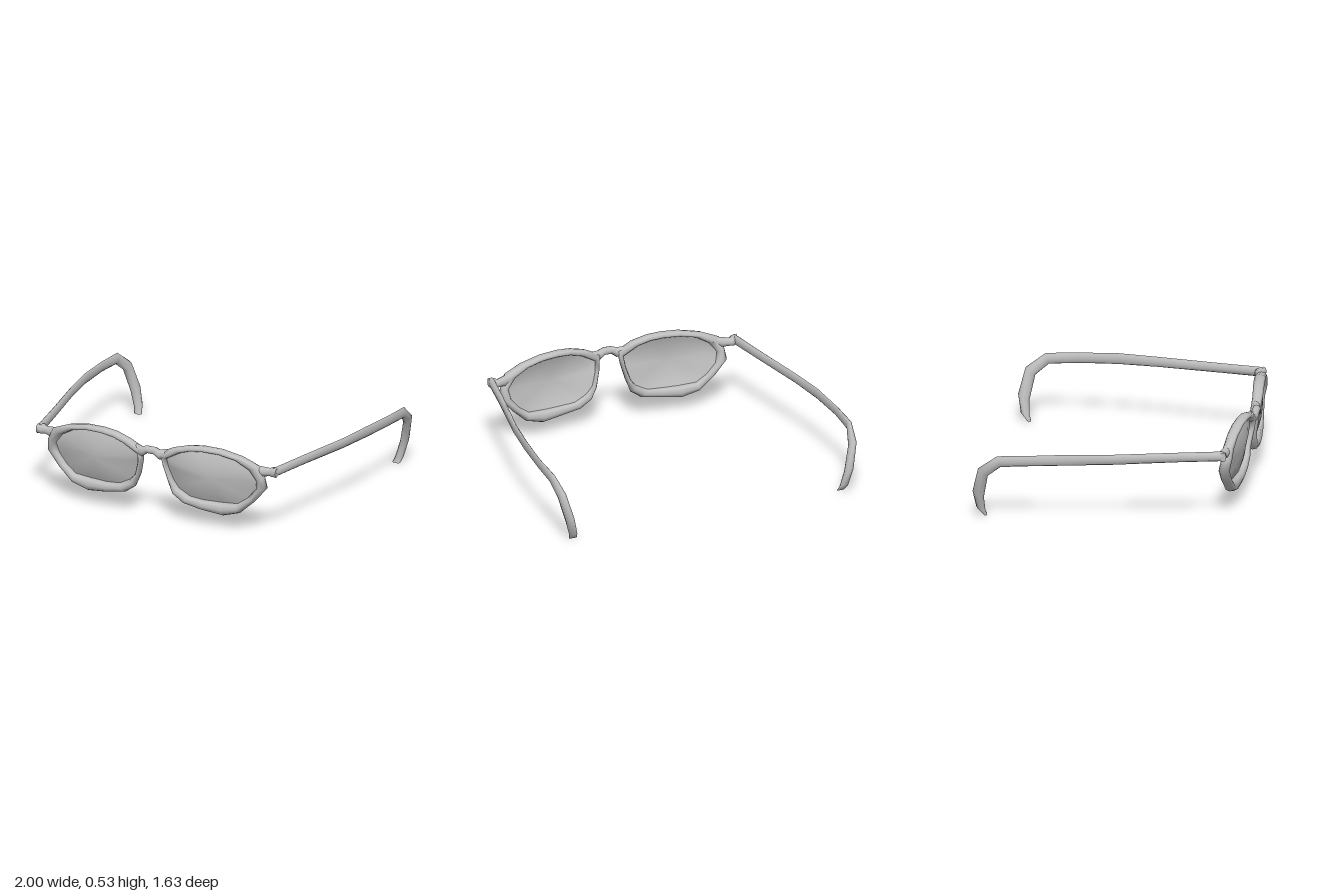
import * as THREE from 'three';

const V = (x, y, z) => new THREE.Vector3(x, y, z);

// Skin elliptical cross-sections {c: centre, a, b: half axes} into a tube.
function loft(sections, closed = false, n = 8) {
  const pos = [], idx = [], m = sections.length;
  const point = (s, j) => {
    const t = (j / n) * Math.PI * 2;
    return s.c.clone().addScaledVector(s.a, Math.cos(t)).addScaledVector(s.b, Math.sin(t));
  };
  for (const s of sections) for (let j = 0; j < n; j++) pos.push(...point(s, j).toArray());
  for (let i = 0; i < (closed ? m : m - 1); i++) {
    for (let j = 0; j < n; j++) {
      const a = i * n + j, b = i * n + (j + 1) % n;
      const k = (i + 1) % m, c = k * n + j, d = k * n + (j + 1) % n;
      idx.push(a, b, c, b, d, c);
    }
  }
  // End caps use their own vertices so their edges stay sharp.
  if (!closed) {
    for (const [s, flip] of [[sections[0], false], [sections[m - 1], true]]) {
      const o = pos.length / 3;
      for (let j = 0; j < n; j++) pos.push(...point(s, j).toArray());
      for (let j = 1; j < n - 1; j++) idx.push(o, ...(flip ? [o + j, o + j + 1] : [o + j + 1, o + j]));
    }
  }
  // Turn the surface outward when its signed volume is negative.
  const at = (i) => V(pos[i * 3], pos[i * 3 + 1], pos[i * 3 + 2]);
  let volume = 0;
  for (let i = 0; i < idx.length; i += 3) {
    volume += at(idx[i]).dot(at(idx[i + 1]).cross(at(idx[i + 2])));
  }
  if (volume < 0) idx.reverse();
  return surface(pos, idx);
}

function surface(pos, idx) {
  const g = new THREE.BufferGeometry();
  g.setAttribute('position', new THREE.Float32BufferAttribute(pos, 3));
  g.setIndex(idx);
  g.computeVertexNormals();
  return g;
}

// The front wraps back toward the sides and leans back below.
const frontZ = (x, y) => 0.79 - 0.1 * x - 0.08 * Math.max(0, 0.4 - y);

// Rim: outer x, y; inner x, y; backward shift; half depth
const RIM = [
  [0.06, 0.45, 0.095, 0.41, 0.01, 0.03],
  [0.15, 0.495, 0.195, 0.465, 0, 0.032],
  [0.25, 0.522, 0.27, 0.488, 0, 0.034],
  [0.34, 0.53, 0.355, 0.495, 0, 0.035],
  [0.46, 0.525, 0.45, 0.492, 0, 0.035],
  [0.6, 0.495, 0.55, 0.472, 0, 0.034],
  [0.71, 0.45, 0.64, 0.42, 0, 0.034],
  [0.74, 0.38, 0.69, 0.355, 0, 0.034],
  [0.752, 0.31, 0.675, 0.29, 0.01, 0.034],
  [0.67, 0.21, 0.62, 0.225, 0.005, 0.034],
  [0.57, 0.12, 0.555, 0.178, 0, 0.035],
  [0.46, 0.088, 0.45, 0.172, 0, 0.035],
  [0.33, 0.105, 0.33, 0.172, 0, 0.033],
  [0.2, 0.13, 0.24, 0.18, 0.01, 0.033],
  [0.13, 0.18, 0.165, 0.22, 0.02, 0.036],
  [0.1, 0.26, 0.125, 0.27, 0.03, 0.038],
  [0.075, 0.36, 0.1, 0.35, 0.022, 0.036],
];

function rimGeometry(side) {
  return loft(RIM.map(([ox, oy, ix, iy, back, depth]) => {
    const x = (ox + ix) / 2, y = (oy + iy) / 2;
    return {
      c: V(side * x, y, frontZ(x, y) - back),
      a: V(side * (ox - ix) / 2, (oy - iy) / 2, 0),
      b: V(0, 0, depth),
    };
  }), true);
}

// Lens: shrinking rings of the opening, domed toward the front
function lensGeometry(side) {
  const pos = [], idx = [], n = RIM.length, cx = 0.39, cy = 0.33;
  const rings = [1.03, 0.85, 0.62, 0.32];
  for (const s of rings) {
    for (const [, , ix, iy, back] of RIM) {
      const x = cx + (ix - cx) * s, y = cy + (iy - cy) * s;
      pos.push(side * x, y, frontZ(x, y) - back * s * s + 0.03 * (1 - s * s) - 0.006);
    }
  }
  pos.push(side * cx, cy, frontZ(cx, cy) + 0.024);
  const tri = (a, b, c) => idx.push(...(side > 0 ? [a, b, c] : [a, c, b]));
  for (let j = 0; j < n; j++) {
    const k = (j + 1) % n;
    for (let r = 0; r < rings.length - 1; r++) {
      const o = r * n, i = o + n;
      tri(o + j, o + k, i + j);
      tri(o + k, i + k, i + j);
    }
    const o = (rings.length - 1) * n;
    tri(o + j, o + k, rings.length * n);
  }
  return surface(pos, idx);
}

// Temple arm: top/outer z, y; bottom/inner z, y; centre x; half thickness
const TEMPLE = [
  [0.71, 0.455, 0.71, 0.393, 0.802, 0.02],
  [0.45, 0.45, 0.45, 0.389, 0.85, 0.018],
  [0.05, 0.443, 0.05, 0.379, 0.93, 0.014],
  [-0.2, 0.442, -0.2, 0.373, 0.965, 0.012],
  [-0.45, 0.428, -0.45, 0.362, 0.983, 0.012],
  [-0.655, 0.415, -0.635, 0.347, 0.983, 0.017],
  [-0.775, 0.325, -0.715, 0.28, 0.962, 0.027],
  [-0.815, 0.165, -0.745, 0.13, 0.923, 0.028],
  [-0.795, 0.055, -0.74, 0.04, 0.897, 0.027],
  [-0.75, 0.008, -0.73, 0.004, 0.886, 0.026],
];

function templeGeometry(side) {
  return loft(TEMPLE.map(([oz, oy, iz, iy, x, half]) => ({
    c: V(side * x, (oy + iy) / 2, (oz + iz) / 2),
    a: V(0, (oy - iy) / 2, (oz - iz) / 2),
    b: V(side * half, 0, 0),
  })));
}

// Straight-across pieces: x, y, z, half height, half depth
const across = (rows, side = 1) => loft(rows.map(([x, y, z, h, d]) => ({
  c: V(side * x, y, z), a: V(0, h, 0), b: V(0, 0, d),
})));

const BRIDGE = [
  [-0.11, 0.445, 0.77, 0.03, 0.026], [-0.06, 0.435, 0.786, 0.033, 0.026],
  [-0.025, 0.455, 0.789, 0.025, 0.025], [0.025, 0.455, 0.789, 0.025, 0.025],
  [0.06, 0.435, 0.786, 0.033, 0.026], [0.11, 0.445, 0.77, 0.03, 0.026],
];
const END_PIECE = [
  [0.66, 0.43, 0.72, 0.026, 0.028], [0.72, 0.416, 0.708, 0.034, 0.027],
  [0.77, 0.416, 0.692, 0.026, 0.026], [0.79, 0.42, 0.694, 0.034, 0.036],
  [0.82, 0.422, 0.71, 0.03, 0.02],
];

export function createModel() {
  const group = new THREE.Group();
  const grey = new THREE.MeshStandardMaterial({ color: 0xbfbfbf, side: THREE.DoubleSide });
  grey.name = 'light grey';
  const add = (name, geometry) => {
    const mesh = new THREE.Mesh(geometry, grey);
    mesh.name = name;
    group.add(mesh);
  };
  add('bridge', across(BRIDGE));
  for (const [label, side] of [['left', 1], ['right', -1]]) {
    add(label + 'Rim', rimGeometry(side));
    add(label + 'Lens', lensGeometry(side));
    add(label + 'Hinge', across(END_PIECE, side));
    add(label + 'Temple', templeGeometry(side));
  }
  return group;
}
